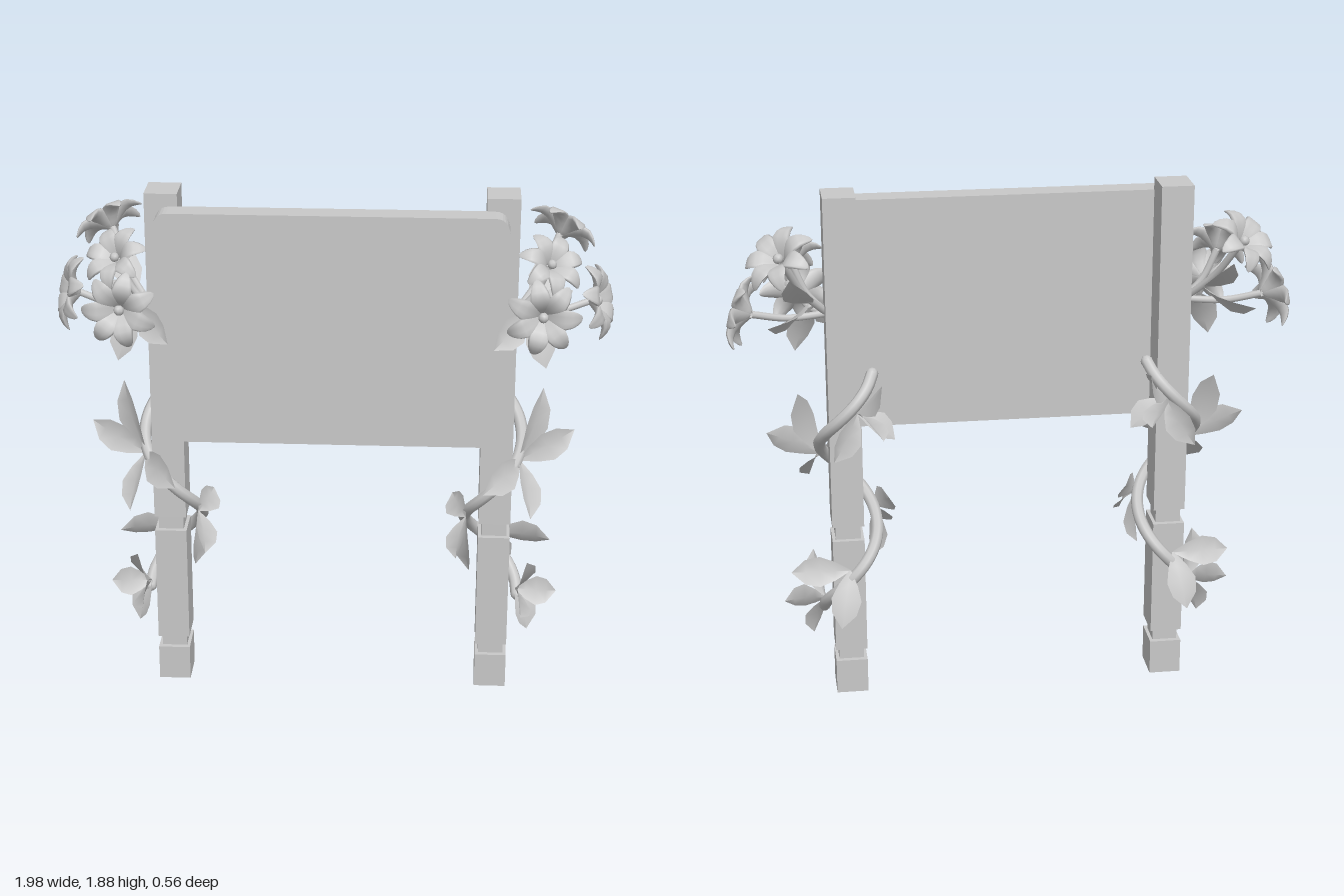
import * as THREE from 'three';
import { mergeGeometries } from 'three/addons/utils/BufferGeometryUtils.js';

const V = (x, y, z) => new THREE.Vector3(x, y, z);

// Frame with +y along dir and +z as close as possible to face, placed at pos
function frame(pos, dir, face) {
  const y = dir.clone().normalize();
  const x = y.clone().cross(face).normalize();
  return new THREE.Matrix4().makeBasis(x, y, x.clone().cross(y)).setPosition(pos);
}

// Moves every vertex by a rule
function reshape(geometry, rule) {
  const p = geometry.attributes.position;
  for (let i = 0; i < p.count; i++) p.setXYZ(i, ...rule(p.getX(i), p.getY(i), p.getZ(i)));
  geometry.computeVertexNormals();
  return geometry;
}

// Mirrored copy across x = 0 with the winding restored
function mirrorX(geometry) {
  const g = geometry.clone().scale(-1, 1, 1);
  const a = g.index.array;
  for (let i = 0; i < a.length; i += 3) [a[i], a[i + 1]] = [a[i + 1], a[i]];
  return g;
}

// Pointed leaf, folded along its midrib and slightly arched
function leaf(base, tip, face) {
  const dir = tip.clone().sub(base);
  const len = dir.length();
  const halfWidth = [0.003, 0.034, 0.054, 0.044, 0];
  const g = reshape(new THREE.PlaneGeometry(2, 1, 2, 4), (x, y) => {
    const t = y + 0.5;
    const w = halfWidth[Math.round(t * 4)];
    return [x * w, t * len, Math.abs(x) * w * 0.3 + 0.06 * len * Math.sin(Math.PI * t)];
  });
  return g.applyMatrix4(frame(base, dir, face));
}

// Seven pointed, keeled petals that rise and level out, round a small centre
function flower(centre, facing, radius) {
  const parts = [];
  for (let i = 0; i < 7; i++) {
    const petal = reshape(new THREE.SphereGeometry(1, 10, 8), (x, y, z) => {
      const t = (y + 1) / 2;
      const w = 0.27 * radius * (1.2 - 0.4 * t);
      const lift = radius * (0.36 * Math.sin(Math.PI * t * 0.8) - 0.08 * t * t);
      return [x * w, radius * (0.08 + 0.95 * t), z * 0.1 * radius + lift + Math.abs(x) * w * 0.3];
    });
    parts.push(petal.rotateZ(0.2 + (i / 7) * Math.PI * 2));
  }
  parts.push(new THREE.SphereGeometry(radius * 0.14, 8, 6).translate(0, 0, radius * 0.22));
  const n = facing.clone().normalize();
  const up = V(0, 1, 0).addScaledVector(n, -n.y);
  return mergeGeometries(parts).applyMatrix4(frame(centre, up, n));
}

function stem(points, radius, segments) {
  return new THREE.TubeGeometry(new THREE.CatmullRomCurve3(points), segments, radius, 8);
}

// Outline of the board: small lower corners, flared and scalloped upper ones
function boardShape() {
  const half = new THREE.Path();
  half.moveTo(0.53, 1);
  half.quadraticCurveTo(0.565, 1, 0.565, 1.035);
  half.lineTo(0.565, 1.69);
  half.quadraticCurveTo(0.57, 1.725, 0.592, 1.74);
  half.quadraticCurveTo(0.612, 1.76, 0.61, 1.79);
  half.quadraticCurveTo(0.6, 1.84, 0.56, 1.84);
  const right = half.getPoints(6);
  const left = right.map(p => new THREE.Vector2(-p.x, p.y)).reverse();
  return new THREE.Shape([...right, ...left]);
}

export function createModel() {
  const model = new THREE.Group();
  model.name = 'floralSign';
  const grey = new THREE.MeshStandardMaterial({ color: 0xc8c8c8, side: THREE.DoubleSide });
  grey.name = 'stoneGrey';

  const sides = ['leftSide', 'rightSide'].map(name => {
    const g = new THREE.Group();
    g.name = name;
    model.add(g);
    return g;
  });
  const addPair = (name, geometry) => {
    [geometry, mirrorX(geometry)].forEach((g, i) => {
      const mesh = new THREE.Mesh(g, grey);
      mesh.name = name;
      sides[i].add(mesh);
    });
  };

  // Board
  const board = new THREE.Mesh(
    new THREE.ExtrudeGeometry(boardShape(), { depth: 0.088, bevelEnabled: false }), grey);
  board.position.z = 0.08;
  board.name = 'board';
  model.add(board);

  // Posts: square blocks separated by narrower necks
  const post = (name, y0, y1, inset) => addPair(name,
    new THREE.BoxGeometry(0.115 - inset, y1 - y0, 0.138 - inset * 1.6).translate(0.588, (y0 + y1) / 2, 0.016));
  post('postFoot', 0, 0.13, 0);
  post('lowerNeck', 0.13, 0.175, 0.024);
  post('postShaft', 0.175, 0.61, 0);
  post('upperNeck', 0.61, 0.665, 0.024);
  post('postTop', 0.665, 1.885, 0);

  // Vine winding down round the post, with rounded ends
  const vine = [];
  for (let i = 0; i <= 24; i++) {
    const a = THREE.MathUtils.degToRad(205 + (515 * i) / 24);
    vine.push(V(0.58 + 0.1 * Math.cos(a), 1.25 - (0.91 * i) / 24, -0.005 + 0.128 * Math.sin(a)));
  }
  addPair('vine', stem(vine, 0.022, 60));
  for (const end of [vine[0], vine[24]]) {
    addPair('vineEnd', new THREE.SphereGeometry(0.022, 8, 6).translate(end.x, end.y, end.z));
  }

  // Leaves grow in clusters from one point, all facing one way
  const cluster = (face, base, ...tips) => tips.forEach(tip => addPair('leaf', leaf(base, tip, face)));
  // behind the post
  cluster(V(-0.7, 0.5, -0.5), V(0.55, 1.13, -0.13), V(0.47, 1.26, -0.24), V(0.47, 1.08, -0.28),
    V(0.42, 1.03, -0.14), V(0.64, 0.98, -0.21));
  // outer side
  cluster(V(0.5, 0.3, 0.4), V(0.67, 0.91, 0.06), V(0.75, 1.165, 0), V(0.865, 1.015, 0.02),
    V(0.71, 0.76, 0.24), V(0.54, 0.87, 0.285));
  // inner side
  cluster(V(-1, 0.5, 0.6), V(0.485, 0.69, 0.08), V(0.435, 0.75, 0), V(0.5, 0.48, 0.09),
    V(0.45, 0.58, 0.2));
  // lower bend
  cluster(V(0, 0.4, -1), V(0.59, 0.53, -0.13), V(0.8, 0.52, -0.1), V(0.63, 0.34, -0.215));
  // lower end
  cluster(V(0.7, 0.2, 0.7), V(0.675, 0.365, 0), V(0.825, 0.36, 0), V(0.72, 0.215, 0.03),
    V(0.69, 0.33, 0.165), V(0.71, 0.52, 0.1));
  // under the flowers
  cluster(V(0.4, 0.2, 0.9), V(0.68, 1.47, 0.06), V(0.75, 1.285, 0.12), V(0.565, 1.37, 0.18));
  cluster(V(0.2, -0.5, -0.8), V(0.7, 1.5, 0), V(0.85, 1.47, -0.18), V(0.77, 1.63, -0.16));

  // Flowers on short bent stalks
  const bloom = (centre, facing, radius) => {
    addPair('flower', flower(centre, facing, radius));
    const root = V(0.635, 1.45, 0.03);
    const middle = root.clone().lerp(centre, 0.5).add(V(0.01, -0.015, 0));
    addPair('flowerStalk', stem([root, middle, centre], 0.013, 10));
  };
  bloom(V(0.73, 1.49, 0.15), V(0.05, 0.1, 1), 0.132);
  bloom(V(0.9, 1.48, -0.04), V(1, 0.25, 0.3), 0.135);
  bloom(V(0.79, 1.69, -0.14), V(0.45, 0.65, -0.45), 0.13);
  bloom(V(0.75, 1.625, 0.03), V(0.35, 0.6, 0.6), 0.12);
  return model;
}
